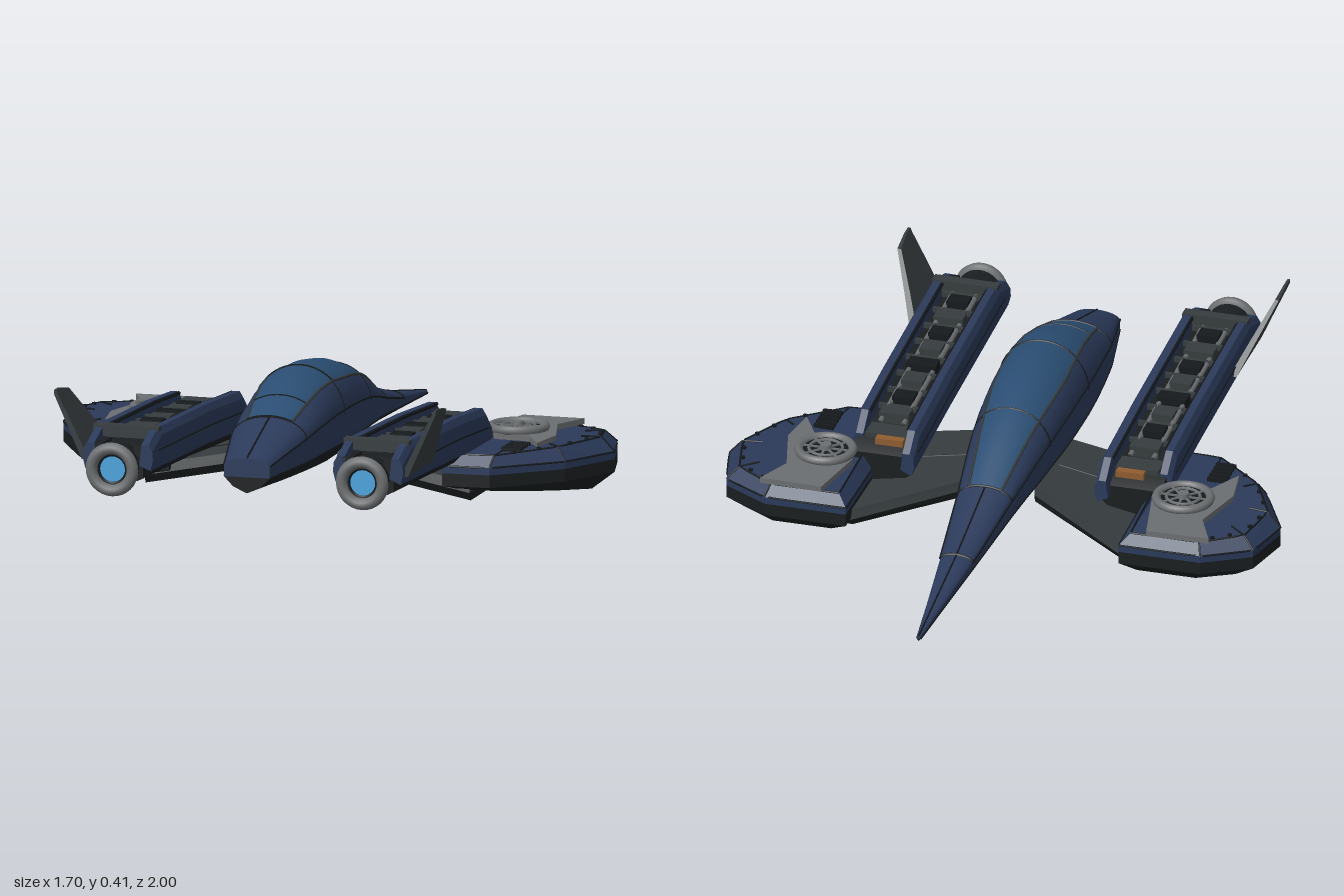
import * as THREE from 'three';
import { toCreasedNormals } from 'three/addons/utils/BufferGeometryUtils.js';

const mat = (color, double) => new THREE.MeshStandardMaterial({ color, side: double ? THREE.DoubleSide : THREE.FrontSide });
const HULL = mat(0x2b3a5a), GLASS = mat(0x2a4d72, true), DARK = mat(0x1a1e20), PLATE = mat(0x363c3e);
const SEAM = mat(0x15191c), METAL = mat(0x6b6e70), ORANGE = mat(0x8f5c30), GLOW = mat(0x4aa3dc);
const V = (x, y, z) => new THREE.Vector3(x, y, z);

function add(parent, name, geo, material, x = 0, y = 0, z = 0) {
  const m = new THREE.Mesh(geo, material);
  m.name = name;
  m.position.set(x, y, z);
  parent.add(m);
  return m;
}
const box = (p, name, m, w, h, d, x, y, z) => add(p, name, new THREE.BoxGeometry(w, h, d), m, x, y, z);

// Skin between cross-sections that run counter-clockwise about the stacking axis
function loft(rings, axis = 'z', closed = true, crease = 0.6) {
  const pos = [], tri = (...p) => p.forEach(v => pos.push(v.x, v.y, v.z));
  const n = rings[0].length;
  for (let i = 0; i < rings.length - 1; i++) {
    for (let j = 0; j < (closed ? n : n - 1); j++) {
      const k = (j + 1) % n, A = rings[i], B = rings[i + 1];
      tri(A[j], A[k], B[j]);
      tri(A[k], B[k], B[j]);
    }
  }
  if (closed) {
    for (const [ring, flip] of [[rings[0], true], [rings[rings.length - 1], false]]) {
      const flat = ring.map(v => axis === 'z' ? new THREE.Vector2(v.x, v.y) : new THREE.Vector2(v.z, v.x));
      for (const [a, b, c] of THREE.ShapeUtils.triangulateShape(flat, [])) {
        if (flip) tri(ring[a], ring[c], ring[b]); else tri(ring[a], ring[b], ring[c]);
      }
    }
  }
  const g = new THREE.BufferGeometry();
  g.setAttribute('position', new THREE.Float32BufferAttribute(pos, 3));
  return toCreasedNormals(g, crease);
}

// Thin strip following a polyline
function strip(parent, name, pts, r = 0.003, material = SEAM, closed = false) {
  const path = new THREE.CurvePath();
  pts.forEach((p, i) => { if (i) path.add(new THREE.LineCurve3(pts[i - 1], p)); });
  if (closed) path.add(new THREE.LineCurve3(pts[pts.length - 1], pts[0]));
  return add(parent, name, new THREE.TubeGeometry(path, pts.length * 5, r, 5, false), material);
}

// Fuselage stations: z, half width, top, shoulder, chine, keel
const STATIONS = [
  [-1, 0.005, 0.095, 0.09, 0.086, 0.08], [-0.6, 0.05, 0.165, 0.145, 0.125, 0.1],
  [-0.3, 0.083, 0.24, 0.2, 0.155, 0.113], [-0.2, 0.096, 0.286, 0.22, 0.165, 0.11],
  [-0.1, 0.109, 0.33, 0.238, 0.172, 0.105], [-0.02, 0.118, 0.358, 0.25, 0.178, 0.1],
  [0.1, 0.129, 0.392, 0.262, 0.183, 0.095], [0.2, 0.134, 0.407, 0.268, 0.186, 0.092],
  [0.32, 0.137, 0.411, 0.272, 0.19, 0.09], [0.42, 0.134, 0.396, 0.27, 0.19, 0.095],
  [0.53, 0.126, 0.36, 0.262, 0.188, 0.103], [0.64, 0.115, 0.316, 0.25, 0.185, 0.112],
  [0.88, 0.07, 0.235, 0.21, 0.178, 0.13]];
const arc = ([z, w, top, sh], a, grow = 0) =>
  V((w + grow) * Math.cos(a), sh + (top - sh + grow) * Math.sin(a), z);
const sweep = (s, a0, n, grow) =>
  Array.from({ length: n + 1 }, (_, i) => arc(s, a0 + (Math.PI - 2 * a0) * i / n, grow));

function fuselage(parent) {
  const g = new THREE.Group();
  g.name = 'fuselage';
  parent.add(g);
  add(g, 'upperHull', loft(STATIONS.map(s => [V(s[1], s[4], s[0]), ...sweep(s, 0, 16, 0), V(-s[1], s[4], s[0])])), HULL);
  add(g, 'lowerHull', loft(STATIONS.map(([z, w, , , lo, keel]) => [V(-w, lo, z),
    V(-w * 0.6, lo + (keel - lo) * 0.6, z), V(0, keel, z), V(w * 0.6, lo + (keel - lo) * 0.6, z), V(w, lo, z)])), DARK);
  // Canopy glass sits just proud of the hull
  const cab = STATIONS.slice(2, 12);
  const edge = s => Math.acos(0.76 - 0.16 * Math.abs(s[0] - 0.17) / 0.47);
  add(g, 'canopy', loft(cab.map(s => sweep(s, edge(s), 14, 0.002)), 'z', false, 1), GLASS);
  for (const i of [0, 3, 6, 8, 9]) strip(g, 'canopyFrame', sweep(cab[i], edge(cab[i]), 14, 0.002), i === 3 || i === 8 ? 0.003 : 0.004);
  for (const side of [0, 1]) {
    const at = (s, a) => arc(s, side ? Math.PI - a : a, 0.001);
    strip(g, 'canopyRail', cab.map(s => at(s, edge(s))), 0.005, PLATE);
    strip(g, 'shoulderSeam', STATIONS.slice(1).map(s => at(s, 0.1)));
    strip(g, 'chineSeam', STATIONS.map(s => V(side ? -s[1] : s[1], s[4], s[0])));
  }
  for (const i of [1, 2, 5, 8, 11]) strip(g, 'hullSeam', sweep(STATIONS[i], 0, 16, 0), i === 1 ? 0.005 : 0.003);
  strip(g, 'noseRidge', STATIONS.slice(0, 3).map(s => arc(s, Math.PI / 2)));
  strip(g, 'tailRidge', STATIONS.slice(11).map(s => arc(s, Math.PI / 2)));
}

// Wing pod outline in x, z, counter-clockwise from above
const OUTLINE = [[0.42, -0.33], [0.415, -0.08], [0.42, 0.265], [0.565, 0.26], [0.75, 0.1], [0.848, -0.09], [0.81, -0.25], [0.67, -0.33]];
const layer = (kx, kz, yOf) => OUTLINE.map(([x, z]) => {
  const X = 0.6 + (x - 0.6) * kx, Z = -0.05 + (z + 0.05) * kz;
  return V(X, yOf(Z), Z);
});

function wingPod(g) {
  const top = z => 0.17 - 0.06 * Math.abs(z + 0.03);
  add(g, 'podBelly', loft([layer(0.72, 0.93, z => 0.008 + 0.13 * Math.abs(z + 0.085)),
    layer(1, 1, () => 0.062), layer(1, 1, () => 0.1)], 'y', true, 0.3), DARK);
  add(g, 'podShell', loft([layer(1, 1, () => 0.1), layer(1, 1, () => 0.122), layer(0.84, 0.9, top)], 'y', true, 0.3), HULL);
  strip(g, 'podEdge', layer(1, 1, () => 0.122), 0.003, SEAM, true);
  strip(g, 'podDeckEdge', layer(0.84, 0.9, top), 0.003, SEAM, true);
  const outer = layer(1, 1, () => 0.123), inner = layer(0.84, 0.9, top), core = layer(0.6, 0.7, top);
  for (let i = 3; i < 8; i++) {
    strip(g, 'podPanelSeam', [outer[i], inner[i], core[i]]);
    for (const t of [0.3, 0.7]) {
      const p = inner[i].clone().lerp(inner[(i + 1) % 8], t);
      add(g, 'podRivet', new THREE.CylinderGeometry(0.007, 0.007, 0.012, 8), SEAM, p.x * 0.97 + 0.018, p.y, p.z * 0.97);
    }
  }
  // Deck plate with the lift fan
  const shape = new THREE.Shape([[0.5, -0.315], [0.69, -0.31], [0.64, -0.2], [0.685, -0.03], [0.665, 0.1],
    [0.61, 0.0], [0.5, -0.01], [0.46, -0.12]].map(([x, z]) => new THREE.Vector2(x, -z)));
  add(g, 'fanDeck', new THREE.ExtrudeGeometry(shape, { depth: 0.017, bevelEnabled: false }), METAL, 0, 0.157, 0).rotation.x = -Math.PI / 2;
  const fan = new THREE.Group();
  fan.name = 'liftFan';
  fan.position.set(0.55, 0.182, -0.095);
  g.add(fan);
  add(fan, 'fanRing', new THREE.TorusGeometry(0.08, 0.014, 8, 32), METAL).rotation.x = Math.PI / 2;
  add(fan, 'fanWell', new THREE.CylinderGeometry(0.078, 0.078, 0.02, 28), SEAM, 0, -0.008, 0);
  add(fan, 'fanInnerRing', new THREE.TorusGeometry(0.05, 0.005, 6, 24), METAL, 0, 0.004, 0).rotation.x = Math.PI / 2;
  add(fan, 'fanHub', new THREE.CylinderGeometry(0.017, 0.02, 0.024, 14), METAL, 0, 0.005, 0);
  for (let i = 0; i < 4; i++) box(fan, 'fanSpoke', METAL, 0.15, 0.008, 0.007, 0, 0.002, 0).rotation.y = i * Math.PI / 4;
  // Exhaust louvres
  for (let i = 0; i < 5; i++) box(g, 'louvre', SEAM, 0.06, 0.012, 0.013, 0.605, 0.163, 0.075 + i * 0.023);
}

// The nacelle droops toward its front end
const droop = z => z > 0.3 ? -0.045 * (0.84 - z) : -0.0243 - 0.07 * (0.3 - z);
const CX = 0.385;

function nacelle(g) {
  // Rounded dark trough body
  const section = (z, flat) => [V(CX + 0.09, 0.255, z), V(CX - 0.09, 0.255, z),
    ...Array.from({ length: 9 }, (_, i) => {
      const a = Math.PI * (1 + i / 8);
      return V(CX + 0.098 * Math.cos(a), 0.215 + 0.08 * Math.sin(a), z);
    })].map(p => p.setY(0.135 + (p.y - 0.135) * flat + droop(z)));
  add(g, 'nacelleBody', loft([section(-0.07, 0.75), section(0, 1), section(0.3, 1), section(0.84, 1)], 'z', true, 0.5), DARK);
  const run = (x, y, z0, z1) => [z0, 0.3, z1].map(z => V(CX + x, y + droop(z), z));
  for (const s of [-1, 1]) {
    // Side rail: sloped nose, beveled shoulder, lowered tail end
    const inner = s < 0, z0 = inner ? -0.1 : -0.02;
    const rail = (z, t) => {
      const half = [[0.066, 0.2], [0.1, 0.185], [0.108, 0.215], [0.106, t - 0.02], [0.094, t], [0.072, t]]
        .map(([x, y]) => V(CX + s * x, y + droop(z), z));
      return inner ? half.reverse() : half;
    };
    add(g, 'sideRail', loft([rail(z0, 0.255), rail(z0 + 0.06, 0.3), rail(0.3, 0.302), rail(0.82, 0.302), rail(0.92, 0.262)], 'z', true, 0.3), HULL);
    strip(g, 'railLip', run(s * 0.07, 0.295, z0 + 0.06, 0.83), 0.006, SEAM);
    strip(g, 'troughPipe', run(s * 0.036, 0.27, 0.03, 0.82), 0.008, METAL);
    strip(g, 'sideSeam', run(s * 0.107, 0.24, z0 + 0.04, 0.86));
    box(g, 'nozzleArm', DARK, 0.03, 0.1, 0.1, CX + s * 0.063, 0.215, 0.87);
  }
  // Machinery in the open trough
  for (let i = 0; i < 8; i++) {
    const z = 0.08 + i * 0.095;
    box(g, 'machineBlock', i % 2 ? SEAM : PLATE, i % 3 ? 0.065 : 0.09, 0.04, 0.05, CX, 0.267 + droop(z), z);
    box(g, 'crossBrace', PLATE, 0.13, 0.015, 0.012, CX, 0.272 + droop(z), z + 0.045);
  }
  box(g, 'frontCover', PLATE, 0.13, 0.02, 0.07, CX, 0.25 + droop(0), 0.015);
  box(g, 'hatch', ORANGE, 0.085, 0.02, 0.042, CX - 0.015, 0.25 + droop(-0.02), -0.025);
  box(g, 'rearBridge', PLATE, 0.2, 0.035, 0.035, CX, 0.287, 0.818);
  // Engine nozzle
  const nozzle = new THREE.Group();
  nozzle.name = 'nozzle';
  nozzle.position.set(CX, 0.2, 0);
  g.add(nozzle);
  add(nozzle, 'nozzleBarrel', new THREE.CylinderGeometry(0.068, 0.064, 0.09, 28), DARK, 0, 0, 0.923).rotation.x = Math.PI / 2;
  add(nozzle, 'nozzleRing', new THREE.TorusGeometry(0.063, 0.018, 10, 32), METAL, 0, 0, 0.981);
  add(nozzle, 'nozzleInnerRing', new THREE.TorusGeometry(0.046, 0.009, 8, 28), SEAM, 0, 0, 0.972);
  add(nozzle, 'nozzleGlow', new THREE.CylinderGeometry(0.04, 0.04, 0.01, 24), GLOW, 0, 0, 0.97).rotation.x = Math.PI / 2;
  // Canted tail fin, tapering in thickness toward the tip
  const fin = (y, x, z0, z1, t) => [V(x, y, z0), V(x, y, z1), V(x + t, y, z1), V(x + t, y, z0)];
  add(g, 'tailFin', loft([fin(0.21, 0.48, 0.63, 0.9, 0.022), fin(0.3, 0.524, 0.705, 0.9, 0.018),
    fin(0.4, 0.575, 0.785, 0.9, 0.012), fin(0.413, 0.58, 0.86, 0.9, 0.008)], 'y', true, 0.3), PLATE);
}

function wing(g) {
  const plan = [[0.09, -0.09], [0.09, 0.24], [0.5, 0.25], [0.5, -0.24], [0.42, -0.28]];
  const slab = (y, k) => plan.map(([x, z]) => V(x, y - 0.19 * (x - 0.09), 0.03 + (z - 0.03) * k));
  add(g, 'wingUnderside', loft([slab(0.095, 0.93), slab(0.12, 1)], 'y', true, 0.3), DARK);
  add(g, 'wingTop', loft([slab(0.12, 1), slab(0.15, 0.97)], 'y', true, 0.3), PLATE);
  strip(g, 'wingSeam', [V(0.12, 0.144, 0.07), V(0.42, 0.087, 0.07)]);
}

export function createModel() {
  const root = new THREE.Group();
  root.name = 'spacecraft';
  fuselage(root);
  for (const side of [1, -1]) {
    const g = new THREE.Group();
    g.name = side > 0 ? 'leftSide' : 'rightSide';
    g.scale.x = side;
    wing(g);
    wingPod(g);
    nacelle(g);
    root.add(g);
  }
  return root;
}
